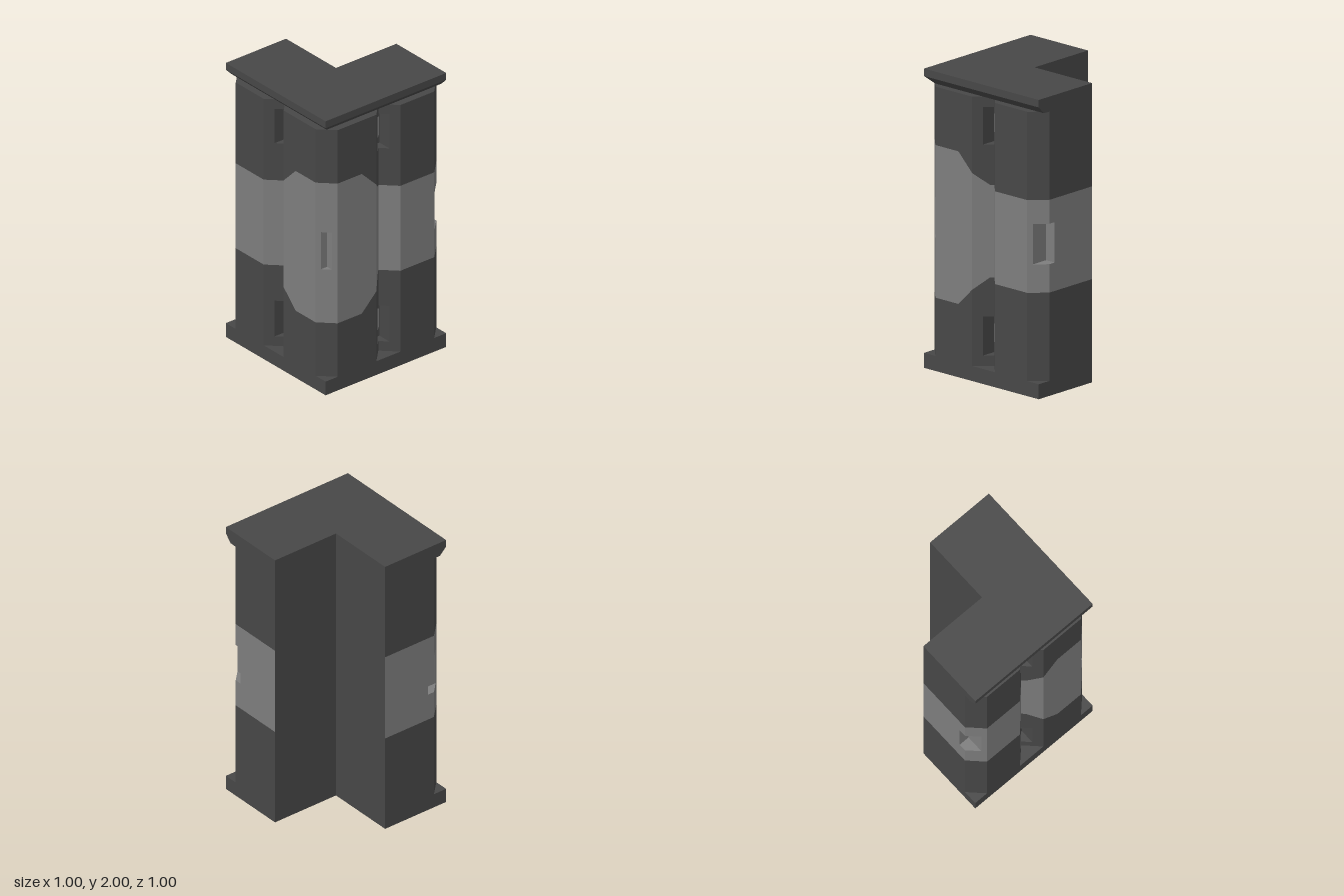
import * as THREE from 'three';

// Plan points are [x, z]; the two outer faces mirror each other across the corner diagonal.
const mirror = ([x, z]) => [-z, -x];
const outline = (half) => [...half, [0, 0], ...half.map(mirror).reverse()];

// Half outlines running from the outer corner along the front to the right end
const start = [[-0.4, 0.5], [-0.2, 0.5], [-0.08, 0.5]];
const groove = [[0, 0.42], [0.02, 0.4], [0.12, 0.5]];
const end = [[0.4, 0.5], [0.5, 0.4], [0.5, 0]];
const plain = outline([...start, ...groove, ...end]);
const groovePockets = outline([...start,
  [-0.03, 0.45], [-0.03, 0.35], [0.07, 0.35], [0.07, 0.45], [0.12, 0.5], ...end]);
const cornerPockets = outline([[-0.425, 0.425], [-0.425, 0.475], ...start, ...groove,
  [0.4, 0.5], [0.425, 0.475], [0.425, 0.35], [0.5, 0.35], [0.5, 0]]);
const full = outline([[-0.5, 0.5], [0.5, 0.5], [0.5, 0]]);
const inset = outline([[-0.45, 0.45], [0.5, 0.45], [0.5, 0]]);

function quad(out, a, b, c, d) {
  out.push(...a, ...b, ...c, ...a, ...c, ...d);
}

// Horizontal face filling an outline, facing up (dir 1) or down (dir -1)
function lid(out, ring, y, dir) {
  const pts = ring.map(([x, z]) => new THREE.Vector2(x, z))
    .filter((p, i, all) => i === 0 || !p.equals(all[i - 1]));
  if (pts[0].equals(pts[pts.length - 1])) pts.pop();
  for (const [i, j, k] of THREE.ShapeUtils.triangulateShape(pts, [])) {
    const a = pts[i], b = pts[j], c = pts[k];
    const turn = (b.x - a.x) * (c.y - a.y) - (b.y - a.y) * (c.x - a.x);
    const order = turn * dir < 0 ? [a, b, c] : [a, c, b];
    order.forEach((p) => out.push(p.x, y, p.y));
  }
}

// Closed solid through a stack of [ring, y]
function stack(levels) {
  const out = [];
  lid(out, levels[0][0], levels[0][1], -1);
  for (let l = 1; l < levels.length; l++) {
    const [r0, y0] = levels[l - 1], [r1, y1] = levels[l];
    r0.forEach((p, i) => {
      const j = (i + 1) % r0.length;
      if (p[0] === r0[j][0] && p[1] === r0[j][1]) return;
      quad(out, [p[0], y0, p[1]], [r0[j][0], y0, r0[j][1]],
        [r1[j][0], y1, r1[j][1]], [r1[i][0], y1, r1[i][1]]);
    });
  }
  const top = levels[levels.length - 1];
  lid(out, top[0], top[1], 1);
  return out;
}

// Half height of the pale band, widening towards the outer corner
const bandHalf = ([x, z]) => THREE.MathUtils.clamp(0.31 - Math.max(x, -z), 0.31, 0.51);

// One storey of shaft walls, split into dark and pale faces
function walls(dark, pale, ring, y0, y1) {
  const fit = (y) => THREE.MathUtils.clamp(y, y0, y1);
  ring.forEach((a, i) => {
    const b = ring[(i + 1) % ring.length];
    if (Math.hypot(a[0] - b[0], a[1] - b[1]) < 1e-6) return;
    const isInner = [a, b].some(([x, z]) => x === 0 && z === 0);
    const levels = [a, b].map((p) => (isInner ? [y0, y1, y1, y1]
      : [y0, fit(1 - bandHalf(p)), fit(1 + bandHalf(p)), y1]));
    [dark, pale, dark].forEach((out, k) => {
      const [la, lb] = levels;
      if (la[k + 1] - la[k] + lb[k + 1] - lb[k] < 1e-6) return;
      quad(out, [a[0], la[k], a[1]], [b[0], lb[k], b[1]],
        [b[0], lb[k + 1], b[1]], [a[0], la[k + 1], a[1]]);
    });
  });
}

export function createModel() {
  const group = new THREE.Group();
  group.name = 'cornerPillar';
  const darkGrey = new THREE.MeshStandardMaterial({ color: 0x474747 });
  darkGrey.name = 'darkGrey';
  const paleGrey = new THREE.MeshStandardMaterial({ color: 0x7d7d7d });
  paleGrey.name = 'paleGrey';

  const add = (name, positions, material) => {
    const geometry = new THREE.BufferGeometry();
    geometry.setAttribute('position', new THREE.Float32BufferAttribute(positions, 3));
    geometry.computeVertexNormals();
    const mesh = new THREE.Mesh(geometry, material);
    mesh.name = name;
    group.add(mesh);
  };

  // Plinth and overhanging cap
  add('base', stack([[full, 0], [full, 0.1]]), darkGrey);
  add('cap', stack([[inset, 1.9], [full, 1.95], [full, 2]]), darkGrey);

  // Shaft storeys, with pocket floors and ceilings
  const dark = [], pale = [];
  const storeys = [[plain, 0.1], [groovePockets, 0.17], [plain, 0.43], [cornerPockets, 0.88],
    [plain, 1.15], [groovePockets, 1.58], [plain, 1.83], [null, 1.9]];
  for (let i = 0; i < storeys.length - 1; i++) {
    const [ring, y0] = storeys[i], y1 = storeys[i + 1][1];
    walls(dark, pale, ring, y0, y1);
    if (ring === plain) continue;
    const out = ring === cornerPockets ? pale : dark;
    lid(out, plain, y0, 1);
    lid(out, plain, y1, -1);
  }
  lid(dark, plain, 1.9, 1);
  add('shaft', dark, darkGrey);
  add('shaftBand', pale, paleGrey);

  // Pale panels at the back of the groove pockets
  const w = 0.045, h = 0.1, cx = 0.02, cy = 0.04;
  const panel = new THREE.ShapeGeometry(new THREE.Shape([
    [-w + cx, -h], [w - cx, -h], [w, -h + cy], [w, h - cy],
    [w - cx, h], [-w + cx, h], [-w, h - cy], [-w, -h + cy],
  ].map(([x, y]) => new THREE.Vector2(x, y))));
  for (const y of [0.302, 1.705]) {
    const front = new THREE.Mesh(panel, paleGrey);
    front.position.set(0.02, y, 0.353);
    front.name = 'frontPocketPanel';
    const side = new THREE.Mesh(panel, paleGrey);
    side.position.set(-0.353, y, -0.02);
    side.rotation.y = -Math.PI / 2;
    side.name = 'sidePocketPanel';
    group.add(front, side);
  }
  return group;
}
